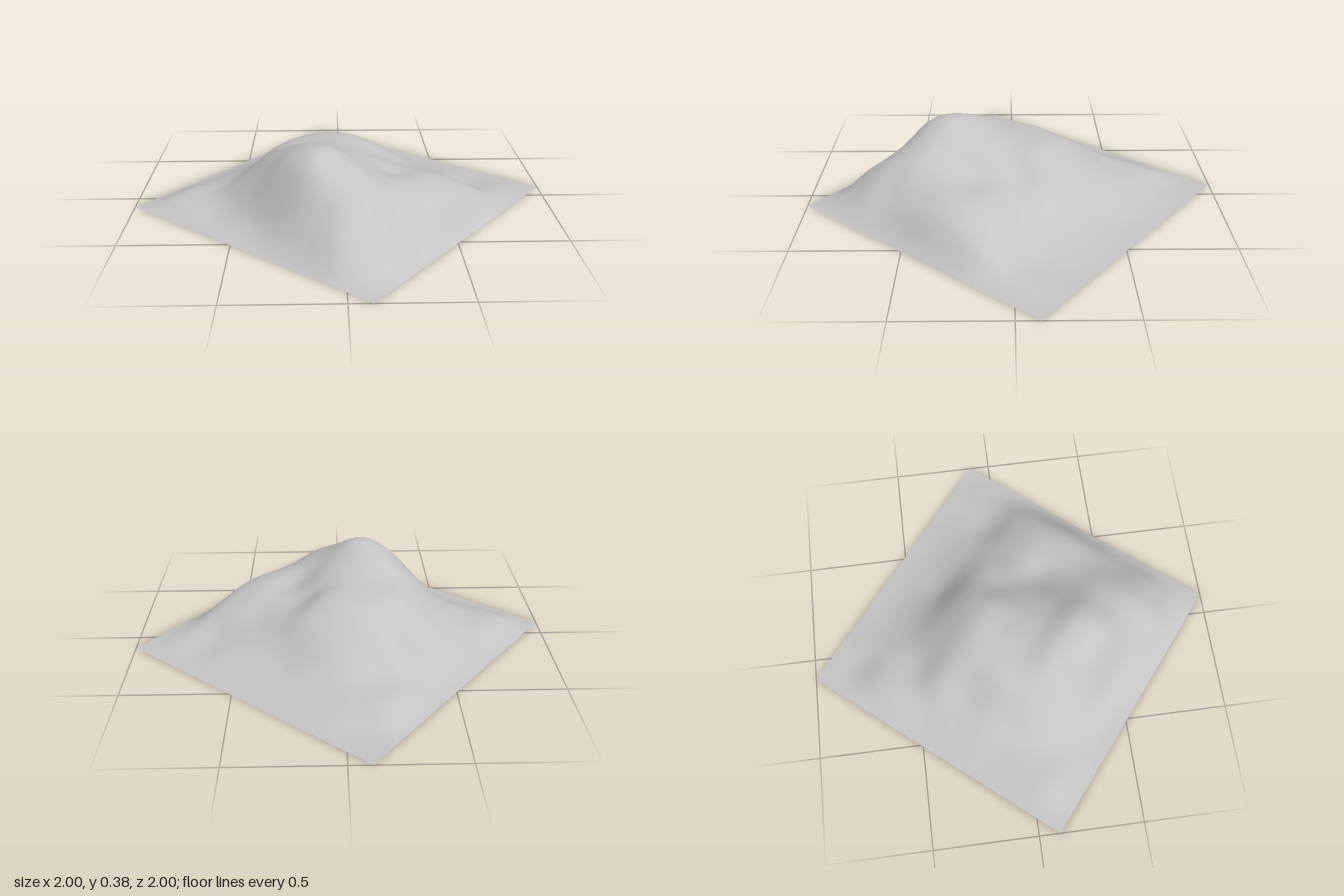
import * as THREE from 'three';

// Heights in hundredths at the inner control points of a 10 x 10 cell patch;
// the rim of the patch lies at zero.
const HEIGHTS = [
  [0.5, 2, 2, 2, 2, 2, 2, 1, 1.5],
  [5, 6, 7, 8, 7, 7, 6, 4, 4],
  [6, 9, 15, 19, 20, 16, 13, 13, 10],
  [5, 15, 23, 27, 27, 20, 18.5, 18.5, 14],
  [5, 13, 25, 28.5, 29, 26, 20, 20, 15],
  [5, 13, 25, 29, 32, 31.5, 26, 21, 13],
  [4.5, 10, 21, 30, 36, 38, 31, 23, 11],
  [5, 7, 13, 21, 30, 33, 27, 21, 11],
  [4.5, 4.5, 4, 5, 7, 11, 13, 13, 6],
];
const CELLS = 10;
const SEGMENTS = 80;

const control = (i, j) => (HEIGHTS[j - 1]?.[i - 1] ?? 0) / 100;

// Catmull-Rom curve through four neighbouring values
function spline(a, b, c, d, t) {
  return b + 0.5 * t * (c - a + t * (2 * a - 5 * b + 4 * c - d + t * (3 * (b - c) + d - a)));
}

// Smooth height at patch coordinates u, v in 0..1
function heightAt(u, v) {
  const i = Math.min(Math.floor(u * CELLS), CELLS - 1);
  const j = Math.min(Math.floor(v * CELLS), CELLS - 1);
  const rows = [-1, 0, 1, 2].map((dj) =>
    spline(...[-1, 0, 1, 2].map((di) => control(i + di, j + dj)), u * CELLS - i));
  return Math.max(0, spline(...rows, v * CELLS - j));
}

export function createModel() {
  const group = new THREE.Group();
  group.name = 'terrain';

  const rock = new THREE.MeshStandardMaterial({ color: 0xc4c4c4, side: THREE.DoubleSide });
  rock.name = 'grey rock';

  // Turned, nearly square sheet raised into a hill with shoulders and a terrace
  const geometry = new THREE.PlaneGeometry(1, 1, SEGMENTS, SEGMENTS);
  geometry.rotateX(-Math.PI / 2);
  const position = geometry.attributes.position;
  for (let n = 0; n < position.count; n++) {
    const u = position.getX(n) + 0.5;
    const v = position.getZ(n) + 0.5;
    position.setXYZ(n, -0.1 + 1.1 * u - 0.9 * v, heightAt(u, v), -1 + 0.9 * u + 1.1 * v);
  }
  geometry.computeVertexNormals();

  const hill = new THREE.Mesh(geometry, rock);
  hill.name = 'hillside';
  group.add(hill);
  return group;
}
